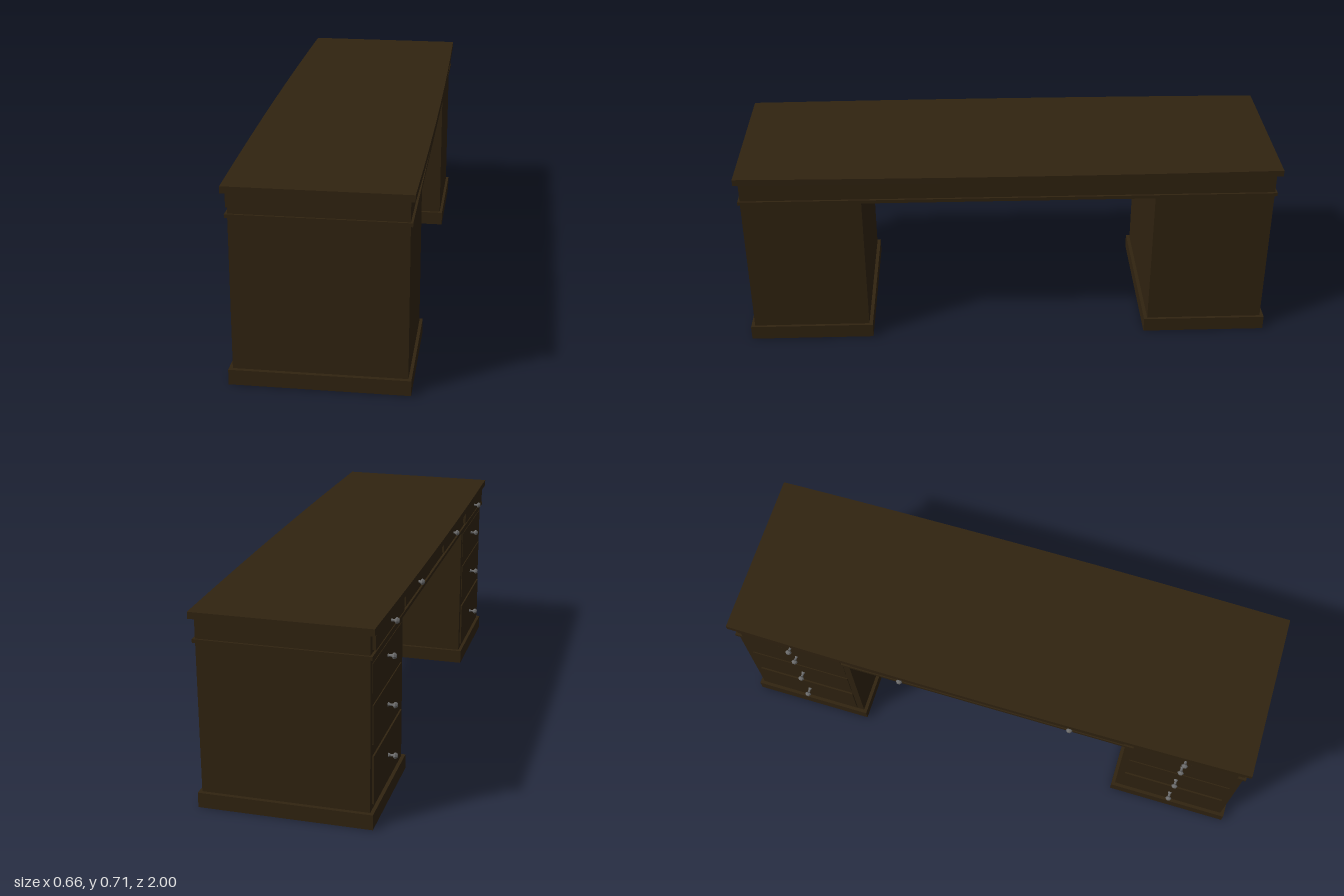
import * as THREE from 'three';

export function createModel() {
  const desk = new THREE.Group();
  desk.name = 'desk';
  const wood = new THREE.MeshStandardMaterial({ color: 0x302310 });
  wood.name = 'dark wood';
  const metal = new THREE.MeshStandardMaterial({ color: 0x6b6b6b, flatShading: true });
  metal.name = 'grey metal';

  // Box given by its limits on each axis
  function block(name, x0, x1, y0, y1, z0, z1) {
    const mesh = new THREE.Mesh(new THREE.BoxGeometry(x1 - x0, y1 - y0, z1 - z0), wood);
    mesh.position.set((x0 + x1) / 2, (y0 + y1) / 2, (z0 + z1) / 2);
    mesh.name = name;
    desk.add(mesh);
  }

  // Table top with slightly bowed long edges
  const outline = new THREE.Shape();
  outline.moveTo(-0.308, -1);
  outline.lineTo(0.318, -1);
  outline.quadraticCurveTo(0.338, 0, 0.318, 1);
  outline.lineTo(-0.308, 1);
  outline.quadraticCurveTo(-0.325, 0, -0.308, -1);
  const topGeometry = new THREE.ExtrudeGeometry(outline, { depth: 0.024, bevelEnabled: false, curveSegments: 8 });
  topGeometry.rotateX(-Math.PI / 2);
  const top = new THREE.Mesh(topGeometry, wood);
  top.position.y = 0.687;
  top.name = 'tableTop';
  desk.add(top);

  // Frieze under the top and the moulding below it
  block('frieze', -0.289, 0.303, 0.6, 0.687, -0.98, 0.984);
  block('moulding', -0.298, 0.311, 0.6, 0.613, -0.988, 0.992);

  // Turned knob pointing to -x; the tip sits at the given place
  const knobProfile = [
    [0, 0], [0.007, 0.001], [0.012, 0.008], [0.0115, 0.011], [0.005, 0.017],
    [0.0045, 0.026], [0.008, 0.034], [0.008, 0.04],
  ].map(([r, d]) => new THREE.Vector2(r, -d)).reverse();
  const knobGeometry = new THREE.LatheGeometry(knobProfile, 8);
  knobGeometry.rotateZ(Math.PI / 2);
  function knob(x, y, z) {
    const mesh = new THREE.Mesh(knobGeometry, metal);
    mesh.position.set(x, y, z);
    mesh.name = 'knob';
    desk.add(mesh);
  }

  // Pedestal drawers: bottom, top, front face x, knob height, knob tip x
  const drawers = [
    [0.075, 0.25, -0.295, 0.163, -0.329],
    [0.291, 0.43, -0.2925, 0.352, -0.327],
    [0.474, 0.577, -0.291, 0.53, -0.322],
    [0.623, 0.677, -0.301, 0.656, -0.33],
  ];
  for (const side of [1, -1]) {
    const span = (a, b) => [side * a + 0.0025, side * b + 0.0025].sort((p, q) => p - q);
    block('pedestal', -0.289, 0.303, 0.05, 0.605, ...span(0.541, 0.982));
    block('plinth', -0.302, 0.314, 0, 0.055, ...span(0.5275, 0.9965));
    for (const [y0, y1, x, ky, kx] of drawers) {
      block('pedestalDrawer', x, -0.28, y0, y1, ...span(0.567, 0.957));
      knob(kx, ky, side * 0.76 + 0.0025);
    }
    // Shallow drawer over the kneehole
    block('middleDrawer', -0.297, -0.28, 0.623, 0.677, ...span(0.13, 0.53));
    knob(-0.32, 0.651, side * 0.327);
  }
  return desk;
}
